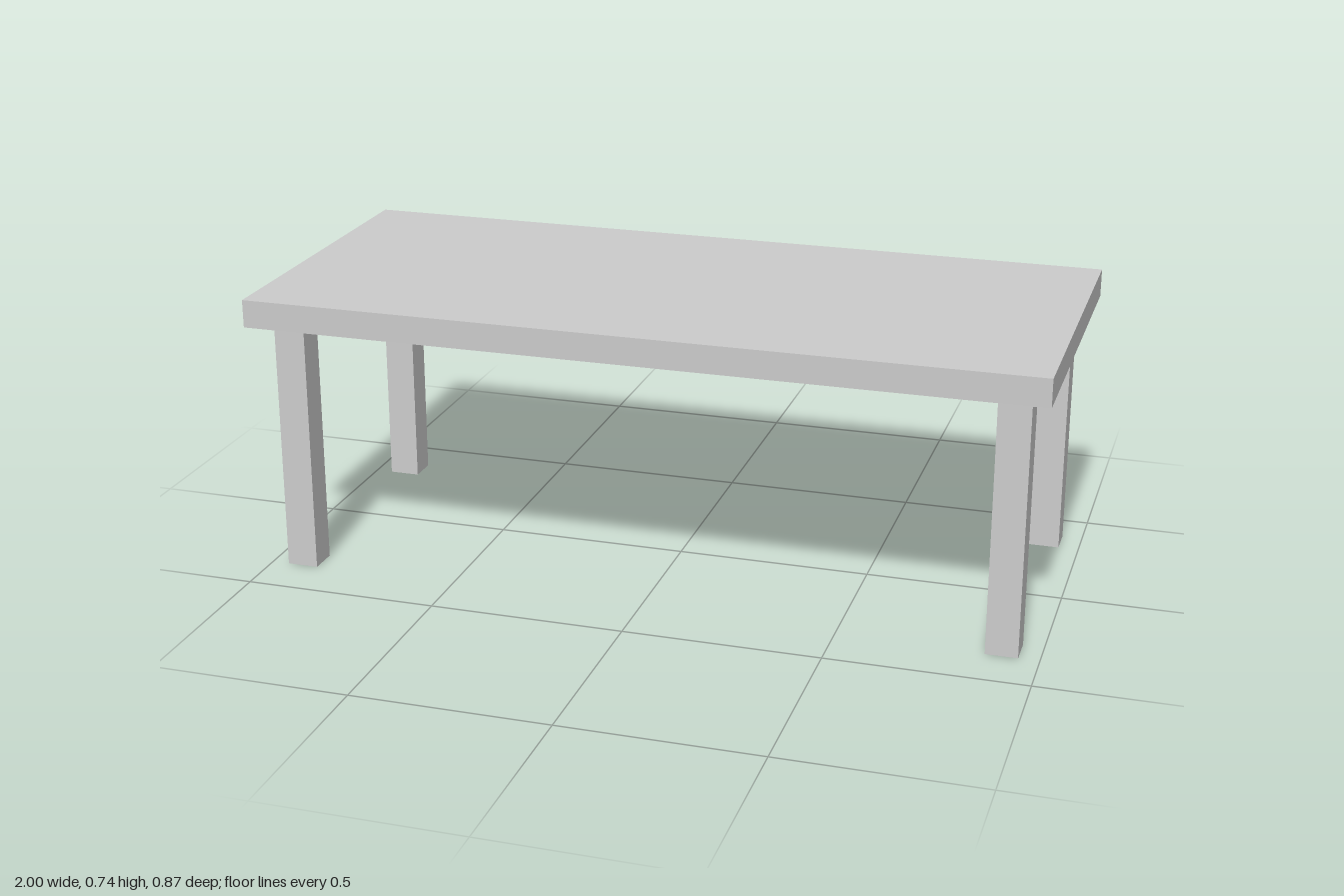
import * as THREE from 'three';

export function createModel() {
  const group = new THREE.Group();
  group.name = 'table';
  const material = new THREE.MeshStandardMaterial({ color: 0xcccccc, flatShading: true });

  // Flat slab top
  const top = new THREE.Mesh(new THREE.BoxGeometry(2, 0.071, 0.874), material);
  top.name = 'tableTop';
  top.position.y = 0.7025;
  group.add(top);

  // Four square legs, leaning very slightly forward at the foot
  const legGeometry = new THREE.BoxGeometry(0.08, 0.667, 0.077);
  const legs = [
    ['frontLeftLeg', 0.908, 0.327],
    ['frontRightLeg', -0.915, 0.327],
    ['backLeftLeg', 0.908, -0.353],
    ['backRightLeg', -0.915, -0.339],
  ];
  for (const [name, x, z] of legs) {
    const leg = new THREE.Mesh(legGeometry, material);
    leg.name = name;
    leg.position.set(x, 0.3365, z);
    leg.rotation.x = -0.007;
    group.add(leg);
  }
  return group;
}
